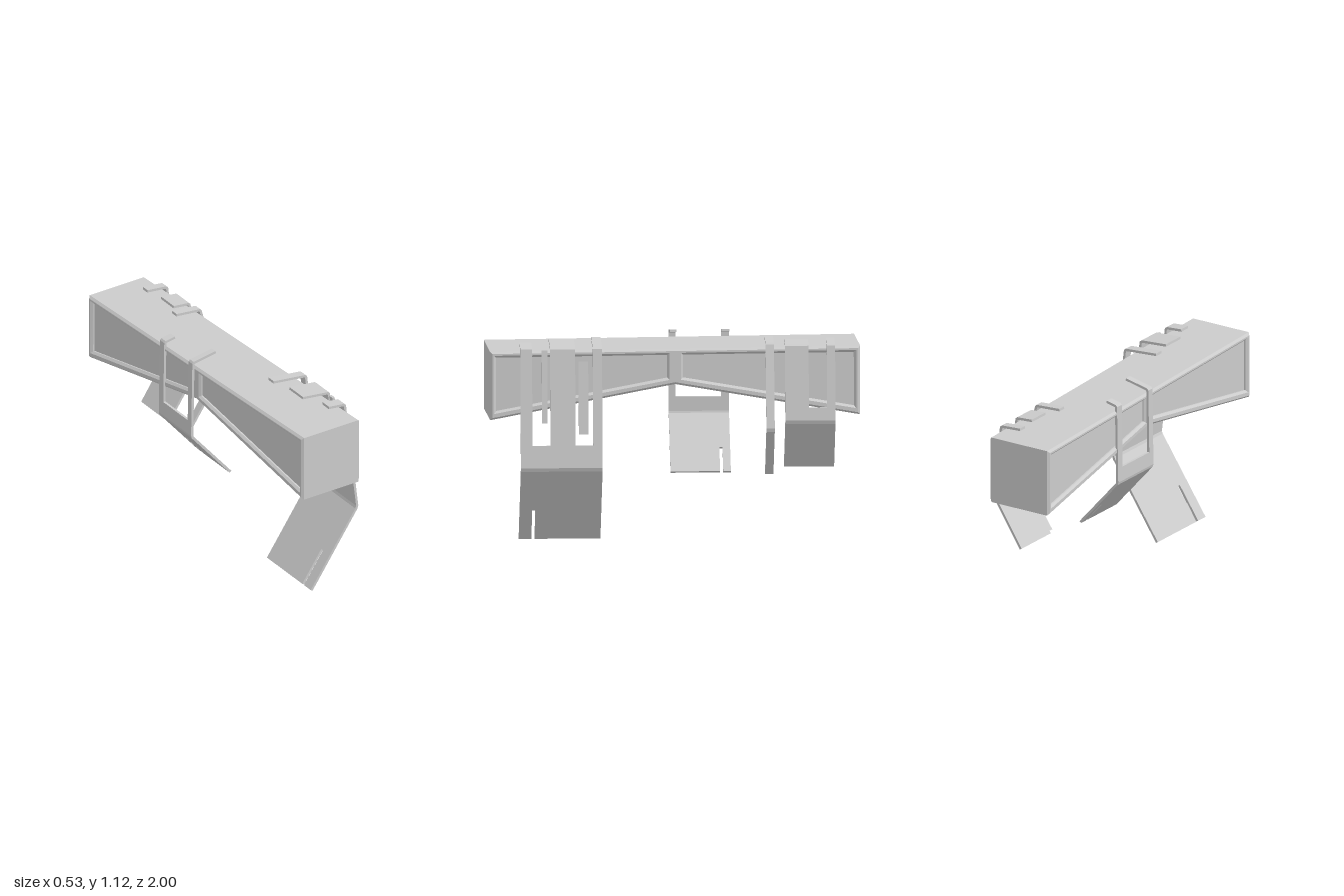
import * as THREE from 'three';

const material = new THREE.MeshStandardMaterial({ color: 0xcccccc, side: THREE.DoubleSide });
const THICK = 0.014, YAW = -0.05;
const V = (x, y) => new THREE.Vector2(x, y);

function add(group, name, geometry) {
  const mesh = new THREE.Mesh(geometry, material);
  mesh.name = name;
  group.add(mesh);
  return mesh;
}

// Box beam with an arched underside and two sunken panels on each side
function beam() {
  const g = new THREE.Group();
  g.name = 'beam';
  const outline = (i) => new THREE.Shape([
    V(-1 + i, 0.685 + i * 1.2), V(0, 0.868 + i), V(1 - i, 0.685 + i * 1.2), V(1 - i, 1.062 - i), V(-1 + i, 1.062 - i),
  ]);
  const bevel = 0.012, width = 0.38;
  const frame = outline(bevel);
  for (const s of [-1, 1]) {
    frame.holes.push(new THREE.Path([V(s * 0.978, 0.722), V(s * 0.03, 0.893), V(s * 0.03, 1.04), V(s * 0.978, 1.04)]));
  }
  const frameGeo = new THREE.ExtrudeGeometry(frame, {
    depth: width - 2 * bevel, bevelSize: bevel, bevelThickness: bevel, bevelSegments: 1,
  });
  const coreGeo = new THREE.ExtrudeGeometry(outline(0.02), { depth: width - 0.04, bevelEnabled: false });
  frameGeo.translate(0, 0, -0.24 + bevel).rotateY(Math.PI / 2);
  coreGeo.translate(0, 0, -0.22).rotateY(Math.PI / 2);
  add(g, 'beamFrame', frameGeo);
  add(g, 'sunkenPanels', coreGeo);
  return g;
}

// Part of a polyline between two fractional indices
function cut(path, a, b) {
  const at = (t) => {
    const i = Math.min(Math.floor(t), path.length - 2);
    return path[i].clone().lerp(path[i + 1], t - i);
  };
  const pts = [at(a)];
  for (let i = Math.floor(a) + 1; i < b; i++) pts.push(path[i]);
  pts.push(at(b));
  return pts;
}

// Bent flat bar: the path thickened to one side (mitred) and extruded across its width
function ribbon(pts, side, w0, w1) {
  const normal = (i) => {
    const d = pts[i + 1].clone().sub(pts[i]).normalize();
    return V(d.y * side, -d.x * side);
  };
  const inner = pts.map((p, i) => {
    const n0 = normal(Math.max(i - 1, 0)), n1 = normal(Math.min(i, pts.length - 2));
    const m = n0.clone().add(n1).normalize();
    return p.clone().addScaledVector(m, THICK / m.dot(n1));
  });
  const geo = new THREE.ExtrudeGeometry(new THREE.Shape([...pts, ...inner.reverse()]), { depth: w1 - w0, bevelEnabled: false });
  return geo.translate(0, 0, w0);
}

// Bracket path: hook end, two corner points, two knee points, shin end.
// Strips run from the hook to slotY, then a panel bends at the knee, then fingers.
function bracket({ name, path, z, side = 1, slotY, strips, panel, notchY, fingers = [], tongues = [] }) {
  const g = new THREE.Group();
  g.name = name;
  g.position.z = z;
  g.rotation.y = YAW;
  const p = path.map(([x, y]) => V(x, y));
  const hook = (x) => (x - p[0].x) / (p[1].x - p[0].x);
  const leg = (y) => 2 + (p[2].y - y) / (p[2].y - p[3].y);
  const shin = (y) => 4 + (p[4].y - y) / (p[4].y - p[5].y);
  const bar = (part, a, b, w0, w1) => add(g, part, ribbon(cut(p, a, b), side, w0, w1));
  for (const [w0, w1, x] of strips) bar('hookStrip', hook(x), slotY ? leg(slotY) : 5, w0, w1);
  if (panel) bar('bentPanel', leg(slotY), notchY ? shin(notchY) : 5, ...panel);
  for (const f of fingers) bar('finger', shin(notchY), 5, ...f);
  for (const [w0, w1, top, bottom] of tongues) bar('slotTongue', leg(top), leg(bottom), w0, w1);
  return g;
}

export function createModel() {
  const model = new THREE.Group();
  model.name = 'beamWithBrackets';
  model.add(
    beam(),
    bracket({
      name: 'largeFrontBracket', z: 0.39, slotY: 0.56, notchY: 0.18,
      path: [[-0.03, 1.104], [0.17, 1.085], [0.183, 1.075], [0.262, 0.44], [0.255, 0.42], [-0.03, 0.002]],
      strips: [[0, 0.05, -0.03], [0.145, 0.28, 0.01], [0.377, 0.44, 0.075]],
      panel: [0, 0.44],
      fingers: [[0, 0.355], [0.372, 0.44]],
      tongues: [[0.075, 0.127, 1.01, 0.62], [0.295, 0.325, 1.07, 0.68]],
    }),
    bracket({
      name: 'narrowBracket', z: -0.54,
      path: [[-0.01, 1.1], [0.14, 1.088], [0.15, 1.078], [0.261, 0.64], [0.256, 0.62], [0.08, 0.358]],
      strips: [[0, 0.045, -0.01]],
    }),
    bracket({
      name: 'rearBracket', z: -0.87, slotY: 0.74,
      path: [[0.03, 1.09], [0.15, 1.08], [0.162, 1.07], [0.212, 0.67], [0.205, 0.65], [0.03, 0.386]],
      strips: [[0, 0.045, 0.03], [0.143, 0.27, 0.055]],
      panel: [0, 0.27],
    }),
    bracket({
      name: 'oppositeBracket', z: 0.01, side: -1, slotY: 0.73, notchY: 0.47,
      path: [[-0.11, 1.124], [-0.25, 1.097], [-0.258, 1.087], [-0.266, 0.65], [-0.262, 0.635], [-0.02, 0.356]],
      strips: [[-0.035, 0.002, -0.11], [-0.323, -0.28, -0.19]],
      panel: [-0.323, 0.002],
      fingers: [[-0.265, 0.002], [-0.323, -0.282]],
    }),
  );
  return model;
}
